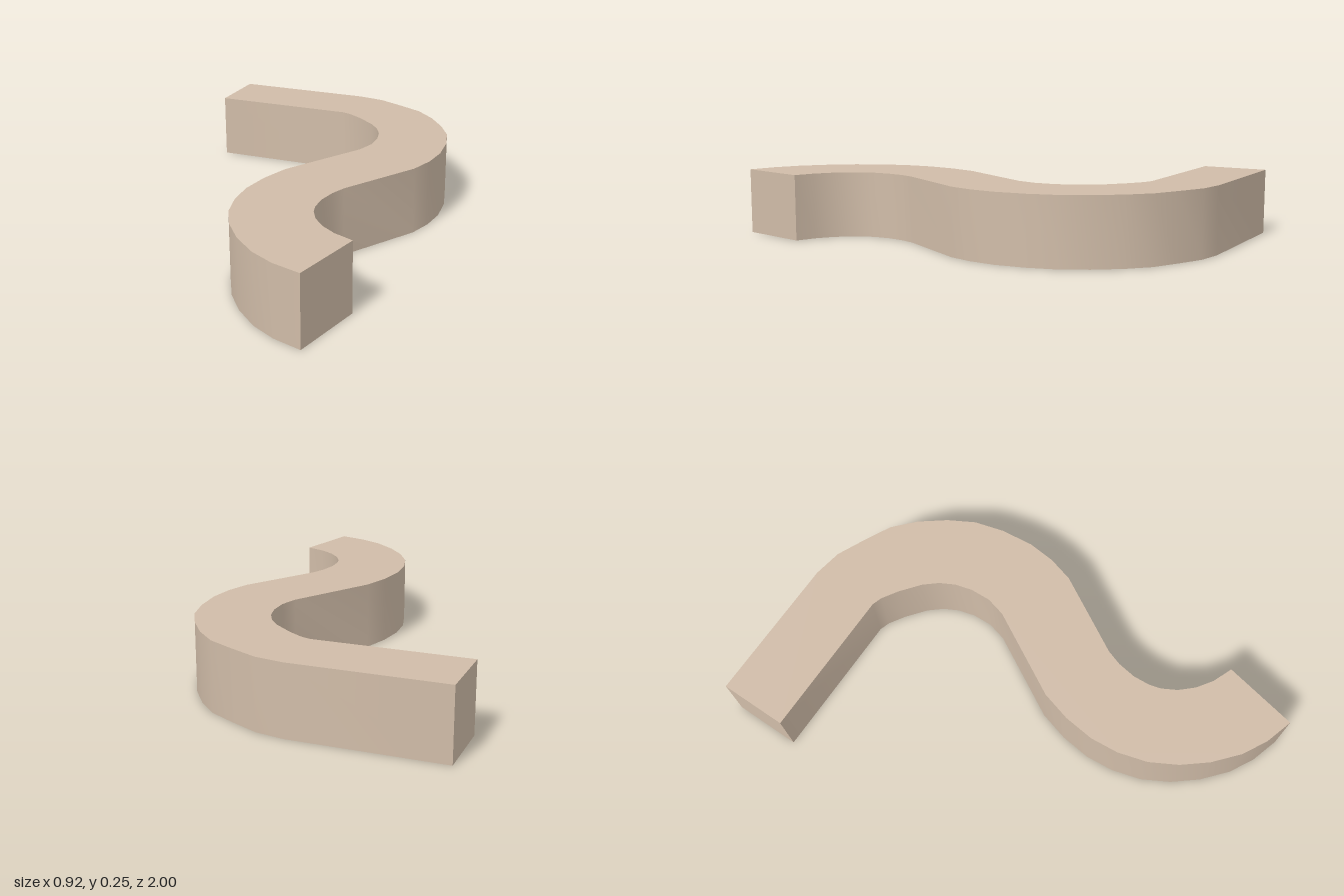
import * as THREE from 'three';
import { toCreasedNormals } from 'three/addons/utils/BufferGeometryUtils.js';

const HEIGHT = 0.25;

// Edges of the winding path as [x, z], both from the back end to the front end
const leftEdge = [
  [-0.37, -1], [0.13, -0.8], [0.22, -0.745], [0.3, -0.66], [0.37, -0.58], [0.415, -0.485],
  [0.445, -0.375], [0.458, -0.27], [0.445, -0.16], [0.412, -0.045], [0.365, 0.045], [0.305, 0.122],
  [0.05, 0.322], [0.01, 0.368], [-0.025, 0.427], [-0.045, 0.487], [-0.05, 0.53],
  [-0.043, 0.59], [-0.02, 0.652], [0.018, 0.71], [0.075, 0.766],
];
const rightEdge = [
  [-0.462, -0.77], [0.05, -0.565], [0.08, -0.54], [0.12, -0.485], [0.165, -0.405], [0.185, -0.345],
  [0.191, -0.285], [0.183, -0.22], [0.158, -0.15], [0.113, -0.09],
  [-0.16, 0.13], [-0.23, 0.22], [-0.285, 0.32], [-0.316, 0.42], [-0.328, 0.53],
  [-0.315, 0.64], [-0.283, 0.745], [-0.23, 0.85], [-0.165, 0.93], [-0.08, 1],
];

export function createModel() {
  const tan = new THREE.MeshStandardMaterial({ name: 'tan', color: 0xd0bca8 });

  // Closed outline: down one edge and back along the other
  const outline = [...leftEdge, ...[...rightEdge].reverse()];
  const shape = new THREE.Shape(outline.map(([x, z]) => new THREE.Vector2(x, -z)));

  // Raise the outline upward, smooth around the bends and sharp at rims and ends
  const solid = new THREE.ExtrudeGeometry(shape, { depth: HEIGHT, bevelEnabled: false });
  solid.rotateX(-Math.PI / 2);
  const windingWall = new THREE.Mesh(toCreasedNormals(solid, THREE.MathUtils.degToRad(40)), tan);
  windingWall.name = 'windingWall';

  const model = new THREE.Group();
  model.name = 'windingPath';
  model.add(windingWall);
  return model;
}
